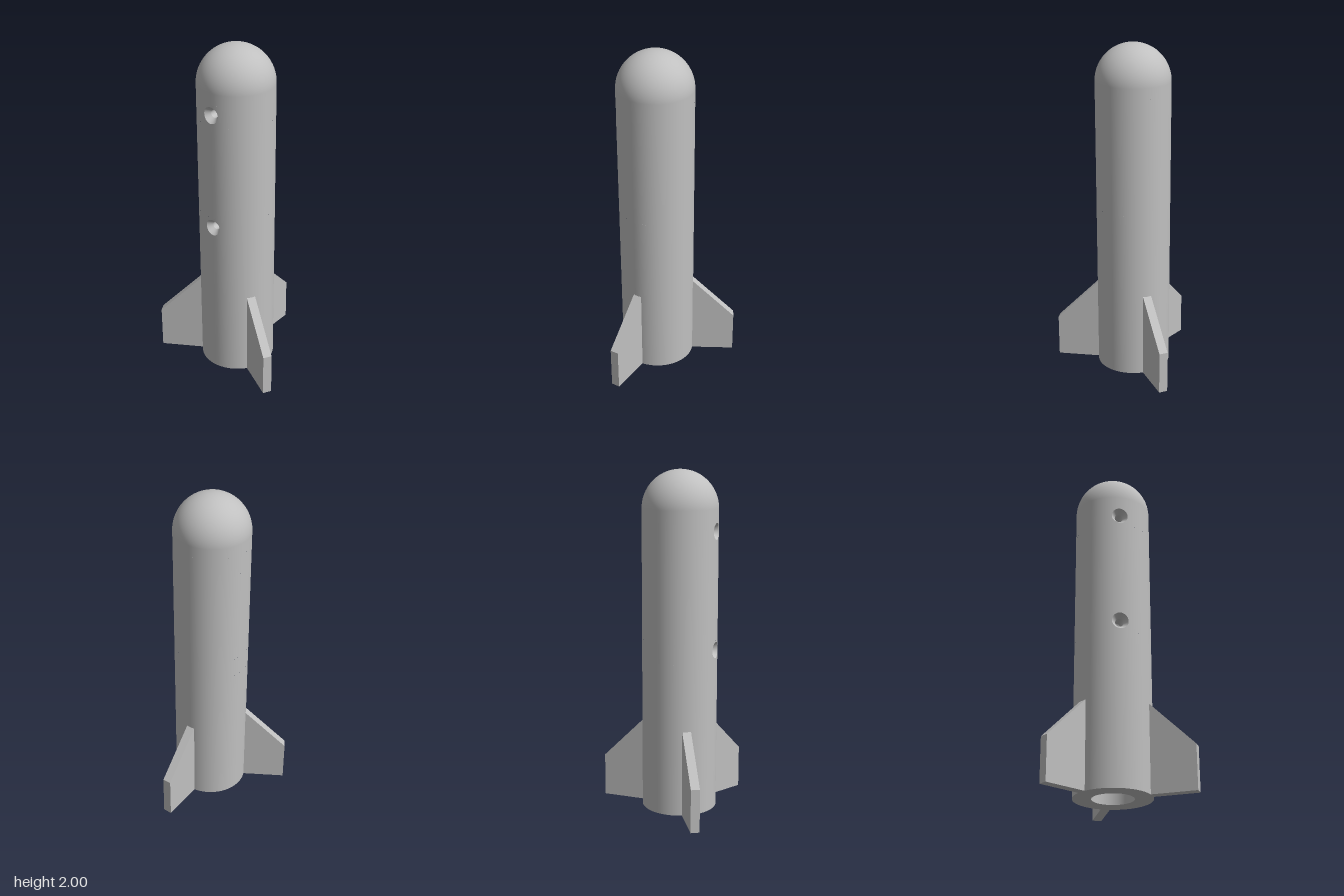
import * as THREE from 'three';

const R = 0.2215, BORE = 0.118, SHOULDER = 1.7785, BORE_TOP = 1.75;
const HOLES = [0.965, 1.653], PATCH = 0.06, SINK = 0.048, SCREW = 0.024;
const SEG = 64, RING = 48;

export function createModel() {
  const grey = new THREE.MeshStandardMaterial({ color: 0xc0c0c0 });
  const rocket = new THREE.Group();
  rocket.name = 'rocket';
  rocket.position.x = -0.11;

  const add = (name, geometry) => {
    const mesh = new THREE.Mesh(geometry, grey);
    mesh.name = name;
    rocket.add(mesh);
    return mesh;
  };
  const lathe = (pts, start = 0, length = Math.PI * 2) =>
    new THREE.LatheGeometry(pts.map(([r, y]) => new THREE.Vector2(r, y)), SEG, start, length);

  // Closed ring of points around a screw hole on the -x side
  const ring = (h, square, size, depthAt) => {
    const pts = [];
    for (let i = 0; i <= RING; i++) {
      const t = (i / RING) * Math.PI * 2, c = Math.cos(t), s = Math.sin(t);
      const k = square ? size / Math.max(Math.abs(c), Math.abs(s)) : size;
      pts.push(new THREE.Vector3(-depthAt(c * k), h + s * k, c * k));
    }
    return pts;
  };
  // Surface between an outer and an inner ring
  const strip = (outer, inner, cylindrical) => {
    const g = new THREE.BufferGeometry().setFromPoints([...outer, ...inner]);
    const index = [], n = outer.length;
    for (let i = 0; i < n - 1; i++) index.push(i, i + 1, n + i, i + 1, n + i + 1, n + i);
    g.setIndex(index);
    g.computeVertexNormals();
    if (cylindrical) {
      [...outer, ...inner].forEach((p, i) => g.attributes.normal.setXYZ(i, p.x / R, 0, p.z / R));
    }
    return g;
  };
  const onCylinder = (r) => (z) => Math.sqrt(r * r - z * z);

  // Body tube, left open in a small patch at each screw hole
  const gap = Math.asin(PATCH / R);
  let y = 0;
  for (const h of HOLES) {
    add('bodyTube', lathe([[R, y], [R, h - PATCH]]));
    add('bodyTubeAtHole', lathe([[R, h - PATCH], [R, h + PATCH]],
      Math.PI * 1.5 + gap, Math.PI * 2 - 2 * gap));
    y = h + PATCH;

    // Countersunk screw hole running into the bore
    const rim = ring(h, false, SINK, onCylinder(R));
    const seat = ring(h, false, SCREW, () => R - 0.035);
    add('holeSurround', strip(ring(h, true, PATCH, onCylinder(R)), rim, true));
    add('countersink', strip(rim, seat));
    add('screwHole', strip(seat, ring(h, false, SCREW, onCylinder(BORE))));
  }
  add('bodyTube', lathe([[R, y], [R, SHOULDER]]));

  // Rounded nose
  const nose = add('nose', new THREE.SphereGeometry(R, SEG, 24, 0, Math.PI * 2, 0, Math.PI / 2));
  nose.position.y = SHOULDER;

  // Motor bore with its ceiling, and the base ring around it
  add('motorBore', lathe([[BORE, BORE_TOP], [BORE, 0]]));
  add('boreCeiling', lathe([[0, BORE_TOP], [BORE, BORE_TOP]]));
  add('baseRing', lathe([[BORE, 0], [R, 0]]));

  // Three swept fins
  const outline = new THREE.Shape([[0.2, 0], [0.477, 0], [0.477, 0.255], [R, 0.51], [0.2, 0.53]]
    .map(([a, b]) => new THREE.Vector2(a, b)));
  const finGeometry = new THREE.ExtrudeGeometry(outline, { depth: 0.052, bevelEnabled: false });
  finGeometry.translate(0, 0, -0.026);
  for (let i = 0; i < 3; i++) add('fin', finGeometry).rotation.y = (i * Math.PI * 2) / 3;

  const model = new THREE.Group();
  model.add(rocket);
  return model;
}
